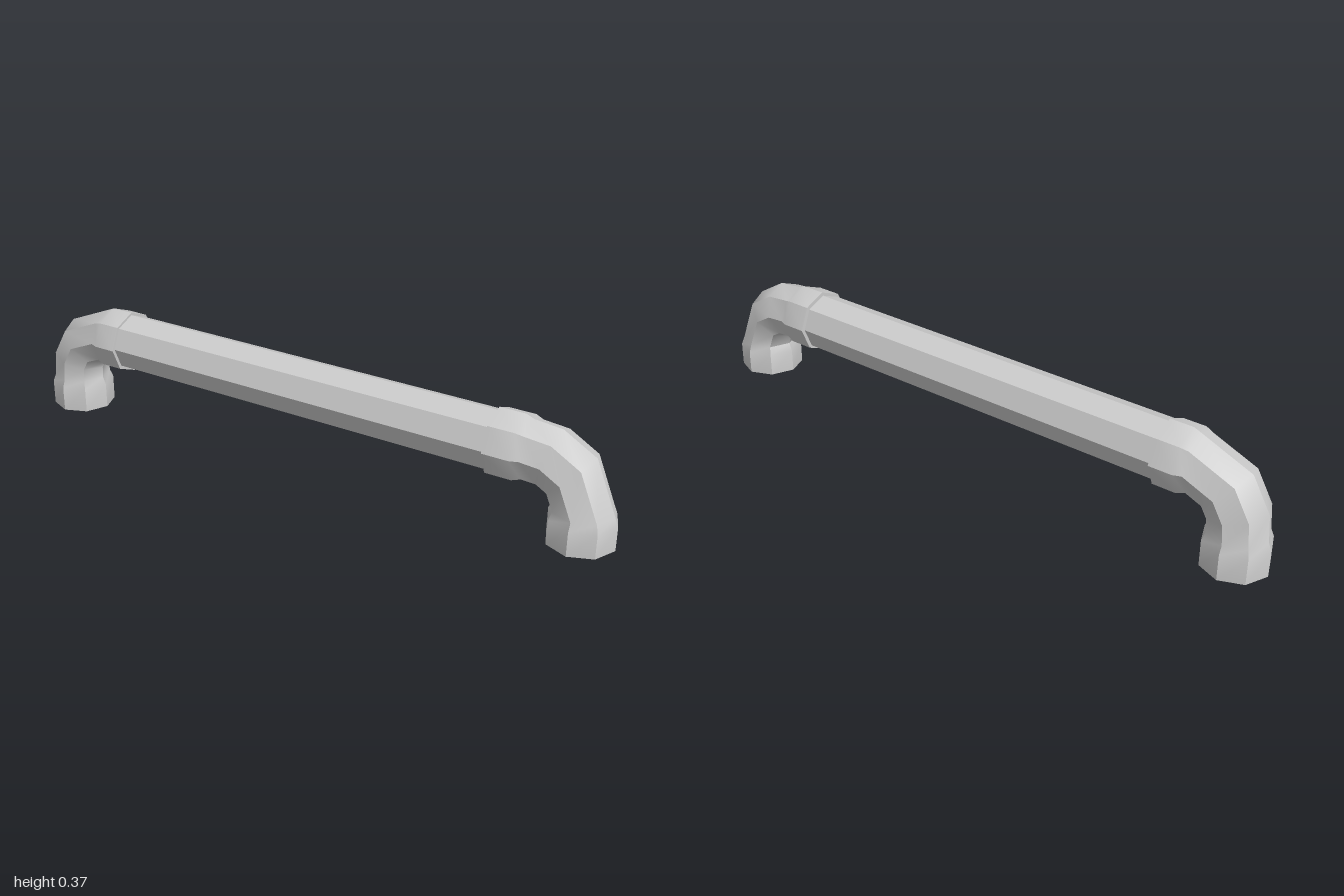
import * as THREE from 'three';
import { toCreasedNormals } from 'three/addons/utils/BufferGeometryUtils.js';

const SIDES = 8;
const PIPE = 0.09, COLLAR = 0.1;
const BEND = 0.135; // radius and offset of the elbow's arc
const BEND_START = 0.13;

// A ring on the elbow's arc, at an angle from the base axis
function arcRing(degrees) {
  const a = THREE.MathUtils.degToRad(degrees);
  return [BEND - BEND * Math.cos(a), BEND_START + BEND * Math.sin(a), PIPE, a];
}

// Lofts octagonal rings [x, y, radius, tilt]; radius 0 closes an end
function loft(rings) {
  const pos = [], idx = [];
  for (const [x, y, r, a] of rings) {
    for (let j = 0; j < SIDES; j++) {
      const t = (j / SIDES) * Math.PI * 2;
      const out = r * Math.cos(t);
      pos.push(x + out * Math.cos(a), y - out * Math.sin(a), r * Math.sin(t));
    }
  }
  for (let i = 0; i < rings.length - 1; i++) {
    for (let j = 0; j < SIDES; j++) {
      const k = (j + 1) % SIDES;
      const a = i * SIDES + j, b = i * SIDES + k;
      const c = a + SIDES, d = b + SIDES;
      if (rings[i][2] > 0) idx.push(a, c, b);
      if (rings[i + 1][2] > 0) idx.push(b, c, d);
    }
  }
  const g = new THREE.BufferGeometry();
  g.setAttribute('position', new THREE.Float32BufferAttribute(pos, 3));
  g.setIndex(idx);
  return toCreasedNormals(g, 0.7);
}

export function createModel() {
  const model = new THREE.Group();
  model.name = 'pipe';
  const material = new THREE.MeshStandardMaterial({ color: 0xcccccc });
  const flat = new THREE.MeshStandardMaterial({ color: 0xcccccc, flatShading: true });

  // Long straight pipe
  const barGeometry = new THREE.CylinderGeometry(PIPE, PIPE, 1.3, SIDES);
  barGeometry.rotateZ(Math.PI / 2);
  const bar = new THREE.Mesh(barGeometry, flat);
  bar.name = 'straightPipe';
  bar.position.set(-0.02, 0.267, 0);
  model.add(bar);

  // Elbow: collar, taper, quarter bend, taper, collar
  const h = Math.PI / 2, top = BEND_START + BEND;
  const elbowGeometry = loft([
    [0, 0, 0, 0], [0, 0, COLLAR, 0], [0, 0.08, COLLAR, 0], [0, 0.105, PIPE, 0],
    arcRing(15), arcRing(45), arcRing(90),
    [0.16, top, COLLAR, h], [0.233, top, COLLAR, h], [0.233, top, 0, h],
  ]);

  // Right elbow stands on its base
  const rightElbow = new THREE.Mesh(elbowGeometry, material);
  rightElbow.name = 'rightElbow';
  rightElbow.position.set(-0.9, 0, 0);
  model.add(rightElbow);

  // Left elbow is the same piece turned a quarter
  const leftElbow = new THREE.Mesh(elbowGeometry, material);
  leftElbow.name = 'leftElbow';
  leftElbow.position.set(0.633, 0.267, 0);
  leftElbow.rotation.z = -Math.PI / 2;
  model.add(leftElbow);

  return model;
}
